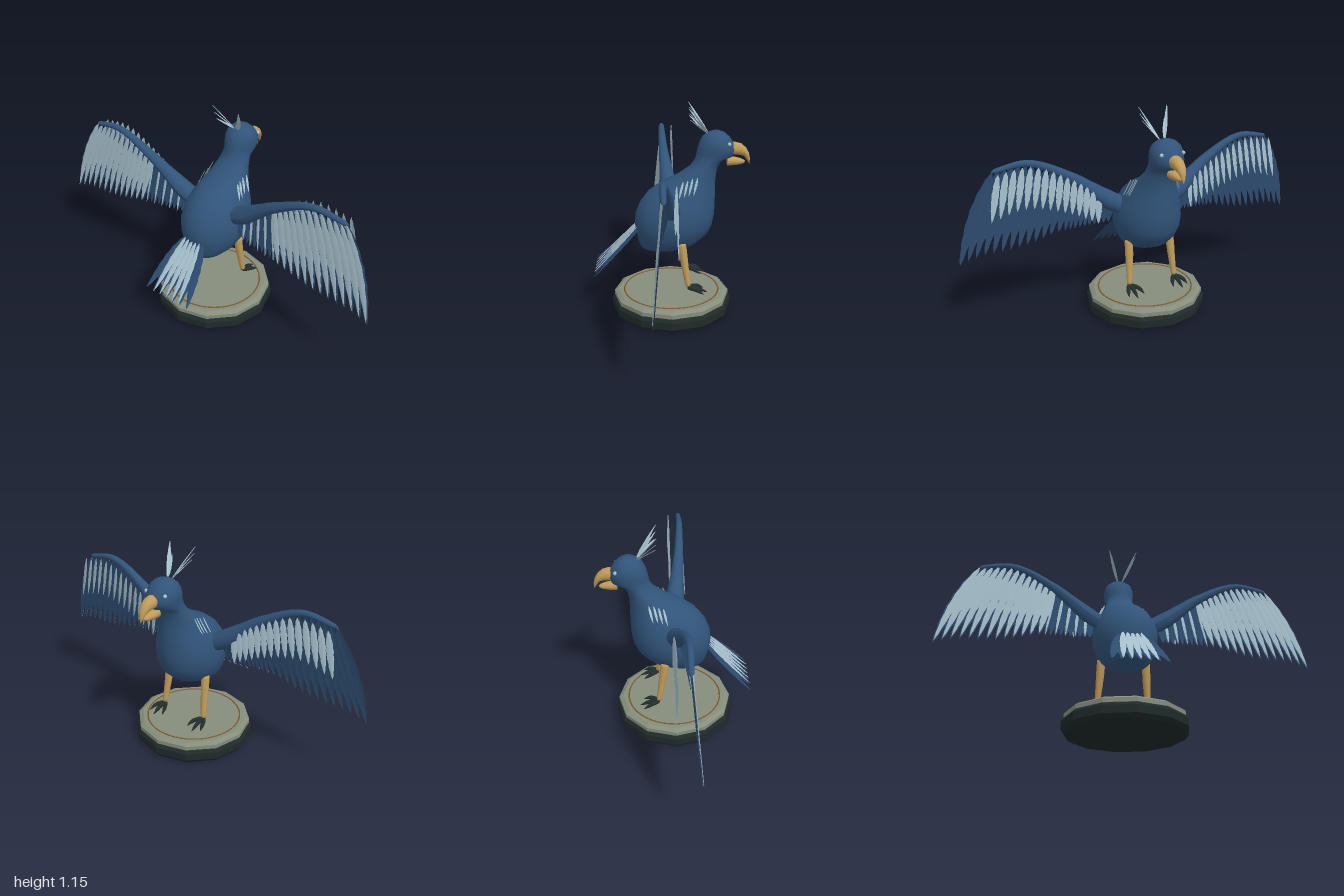
import * as THREE from 'three';

const mat = (name, color, extra = {}) => Object.assign(new THREE.MeshStandardMaterial({ color, ...extra }), { name });
const V = (x, y, z) => new THREE.Vector3(x, y, z);

// Loft through elliptical rings; each row is [zA, yA, zB, yB, halfWidth]
function loft(rows, segs = 28) {
  const pos = [], idx = [];
  rows.forEach(([za, ya, zb, yb, w], i) => {
    for (let j = 0; j < segs; j++) {
      const a = j / segs * Math.PI * 2, c = Math.cos(a) / 2;
      pos.push(w * Math.sin(a), (ya + yb) / 2 + c * (ya - yb), (za + zb) / 2 + c * (za - zb));
      if (i < rows.length - 1) {
        const k = (j + 1) % segs, p = i * segs, q = p + segs;
        idx.push(p + j, p + k, q + j, p + k, q + k, q + j);
      }
    }
  });
  const g = new THREE.BufferGeometry();
  g.setAttribute('position', new THREE.Float32BufferAttribute(pos, 3));
  g.setIndex(idx);
  g.computeVertexNormals();
  return g;
}

// Round limb along a curve whose radius follows a short list
function limb(curve, radii, steps = 24, sides = 14) {
  const g = new THREE.TubeGeometry(curve, steps, 1, sides);
  const p = g.attributes.position, v = V();
  for (let i = 0; i <= steps; i++) {
    const c = curve.getPointAt(i / steps);
    const f = i / steps * (radii.length - 1), k = Math.min(Math.floor(f), radii.length - 2);
    const cap = Math.sqrt(Math.max(0, 1 - Math.max(0, 1 - Math.min(i, steps - i) / 1.5) ** 2));
    const r = THREE.MathUtils.lerp(radii[k], radii[k + 1], f - k) * cap;
    for (let j = 0; j <= sides; j++) {
      const n = i * (sides + 1) + j;
      v.fromBufferAttribute(p, n).sub(c).multiplyScalar(r).add(c);
      p.setXYZ(n, v.x, v.y, v.z);
    }
  }
  g.computeVertexNormals();
  return g;
}

// Pointed feather with a raised shaft line and a barbed edge
function feather(base, tip, width, normal, bow = 0) {
  const dir = tip.clone().sub(base), side = dir.clone().cross(normal).normalize();
  const up = side.clone().cross(dir).normalize(), pos = [], idx = [], n = 12;
  for (let i = 0; i <= n; i++) {
    const t = i / n, w = width / 2 * Math.pow(Math.max(0, Math.sin(Math.PI * Math.pow(t, 0.8))), 0.7) * (i % 2 ? 1 : 0.86);
    const c = base.clone().addScaledVector(dir, t).addScaledVector(side, bow * Math.sin(Math.PI * t));
    for (const s of [-1, 0, 1]) {
      const q = c.clone().addScaledVector(side, s * w).addScaledVector(up, s ? 0 : 0.003);
      pos.push(q.x, q.y, q.z);
    }
    if (i < n) for (const k of [0, 1]) {
      const a = i * 3 + k;
      idx.push(a, a + 1, a + 3, a + 1, a + 4, a + 3);
    }
  }
  const g = new THREE.BufferGeometry();
  g.setAttribute('position', new THREE.Float32BufferAttribute(pos, 3));
  g.setIndex(idx);
  g.computeVertexNormals();
  return g;
}

export function createModel() {
  const two = { side: THREE.DoubleSide };
  const navy = mat('navy plumage', 0x31547a), navyFeather = mat('navy feather', 0x2d4c6f, two);
  const pale = mat('pale feather', 0xa6c0cc, two), horn = mat('tan horn', 0xc09b58);
  const dark = mat('dark claw', 0x222e2d), plinthDark = mat('dark plinth', 0x1e2a29);
  const stone = mat('grey stone', 0x868d7b), bronze = mat('bronze ring', 0x80592f);
  const model = new THREE.Group();
  model.name = 'birdOnPlinth';
  const add = (parent, name, geo, m) => {
    const mesh = new THREE.Mesh(geo, m);
    mesh.name = name;
    parent.add(mesh);
    return mesh;
  };

  // Twelve-sided plinth
  const lathe = (pts) => {
    const g = new THREE.LatheGeometry(pts.map(p => new THREE.Vector2(...p)), 12).toNonIndexed();
    g.computeVertexNormals();
    return g;
  };
  add(model, 'plinthBase', lathe([[0, 0], [0.315, 0], [0.331, 0.02], [0.331, 0.06], [0.318, 0.076], [0, 0.076]]), plinthDark);
  add(model, 'plinthTop', lathe([[0.3, 0.07], [0.318, 0.078], [0.318, 0.1], [0.295, 0.113], [0, 0.113]]), stone);
  add(model, 'plinthRing', new THREE.TorusGeometry(0.262, 0.004, 6, 48).rotateX(Math.PI / 2).translate(0, 0.113, 0), bronze);

  // Body, neck and head in one skin: back point, front point, half width
  add(model, 'body', loft([
    [0.06, 0.358, 0.06, 0.358, 0], [0.14, 0.36, -0.04, 0.364, 0.075], [0.163, 0.368, -0.09, 0.375, 0.1],
    [0.178, 0.4, -0.145, 0.4, 0.13], [0.19, 0.45, -0.198, 0.45, 0.157], [0.198, 0.5, -0.222, 0.5, 0.173],
    [0.194, 0.56, -0.233, 0.56, 0.177], [0.17, 0.62, -0.235, 0.62, 0.165], [0.125, 0.68, -0.235, 0.68, 0.142],
    [0.055, 0.73, -0.235, 0.73, 0.118], [-0.03, 0.77, -0.237, 0.77, 0.1], [-0.1, 0.82, -0.246, 0.82, 0.085],
    [-0.126, 0.86, -0.27, 0.855, 0.077], [-0.132, 0.89, -0.325, 0.876, 0.08], [-0.138, 0.92, -0.336, 0.91, 0.086],
    [-0.147, 0.95, -0.328, 0.945, 0.085], [-0.163, 0.98, -0.306, 0.978, 0.073], [-0.19, 1.001, -0.28, 1.001, 0.048],
    [-0.215, 1.01, -0.255, 1.011, 0.022], [-0.236, 1.013, -0.236, 1.013, 0]]), navy);

  // Hooked beak
  add(model, 'upperBeak', loft([
    [-0.31, 0.92, -0.31, 0.92, 0], [-0.31, 0.95, -0.31, 0.884, 0.034], [-0.335, 0.951, -0.335, 0.882, 0.034],
    [-0.368, 0.942, -0.36, 0.88, 0.03], [-0.394, 0.92, -0.38, 0.876, 0.025], [-0.41, 0.892, -0.392, 0.864, 0.018],
    [-0.417, 0.86, -0.404, 0.848, 0.01], [-0.414, 0.83, -0.414, 0.83, 0]], 16), horn);
  add(model, 'lowerBeak', loft([
    [-0.296, 0.85, -0.296, 0.85, 0], [-0.296, 0.874, -0.296, 0.824, 0.028], [-0.298, 0.874, -0.298, 0.823, 0.028],
    [-0.335, 0.87, -0.335, 0.824, 0.026], [-0.37, 0.861, -0.37, 0.829, 0.018],
    [-0.385, 0.853, -0.385, 0.835, 0.01], [-0.392, 0.845, -0.392, 0.845, 0]], 16), horn);

  // Tail fan: navy feathers with narrower pale ones on top
  const tailUp = V(0, 0.7, 0.7);
  for (let i = -3; i <= 3; i++) {
    const s = i / 3;
    add(model, 'tailFeather', feather(V(s * 0.06, 0.485, 0.175), V(s * 0.14, 0.245, 0.415), 0.056, tailUp), navyFeather);
    if (Math.abs(i) < 3) add(model, 'paleTailFeather',
      feather(V(s * 0.07, 0.495, 0.185), V(s * 0.128, 0.25, 0.418), 0.036, tailUp), pale);
  }

  // Paired parts, built on the +x side and mirrored
  const arm = new THREE.CatmullRomCurve3([V(0.1, 0.595, -0.005), V(0.2, 0.645, 0.01), V(0.41, 0.797, 0.037),
    V(0.62, 0.893, 0.048), V(0.81, 0.873, 0.046)]);
  const tips = new THREE.CatmullRomCurve3([V(0.47, 0.49, 0.075), V(0.68, 0.44, 0.08), V(0.9, 0.425, 0.086), V(0.99, 0.395, 0.09)]);
  const back = V(0, 0, 1), lerp = THREE.MathUtils.lerp;
  const shift = (v, z) => v.clone().add(V(0, 0, z));
  for (const sx of [1, -1]) {
    const side = new THREE.Group();
    side.name = sx > 0 ? 'leftSide' : 'rightSide';
    side.scale.x = sx;
    model.add(side);

    // Wing arm and flight feathers
    add(side, 'wingArm', limb(arm, [0.05, 0.05, 0.035, 0.026, 0.02, 0.016, 0.012], 40), navy);
    for (let i = 0; i < 13; i++) {
      const t = i / 12, b = arm.getPointAt(lerp(0.46, 0.985, t)), e = tips.getPointAt(t);
      add(side, 'flightFeather', feather(b, e, 0.062, back, -0.015 * t), navyFeather);
      add(side, 'paleFlightFeather', feather(shift(b, 0.004), shift(e.clone().lerp(b, 0.03), 0.006),
        0.044, back, -0.015 * t), pale);
    }
    for (let i = 0; i < 10; i++) {
      const t = i / 9, b = arm.getPointAt(lerp(0.14, 0.44, t));
      const e = b.clone().add(V(lerp(0, 0.045, t), lerp(-0.13, -0.29, t), 0.03));
      add(side, 'innerFeather', feather(b, e, 0.048, back), navyFeather);
      if (i % 2) add(side, 'paleInnerFeather', feather(shift(b, 0.004), shift(e, 0.006), 0.018, back), pale);
    }
    // Row of covert feathers along the front of the wing
    for (let i = 0; i < 15; i++) {
      const t = i / 14, b = arm.getPointAt(lerp(0.25, 0.97, t));
      b.z = -0.012;
      const e = b.clone().add(V(lerp(0.01, 0.05, t), lerp(-0.16, -0.24, t), -0.004));
      add(side, 'covertFeather', feather(b, e, 0.036, V(0.3, 0, -1)), pale);
    }

    // Crest plumes
    [[0.08, 1.15, -0.09], [0.074, 1.115, -0.092], [0.062, 1.08, -0.095]].forEach(p =>
      add(side, 'crestFeather', feather(V(0.012, 0.995, -0.195), V(...p), 0.02, V(0.6, 0.2, 0.8)), pale));

    // Small pale feathers beside the neck
    [[0.116, 0.755, -0.1], [0.122, 0.76, -0.125], [0.116, 0.745, -0.075], [0.12, 0.74, -0.05]].forEach(([x, y, z]) =>
      add(side, 'neckFeather', feather(V(x - 0.012, y + 0.025, z - 0.01), V(x + 0.022, y - 0.06, z + 0.012), 0.014, V(1, 0.3, 0.4)), pale));

    // Eye
    const eye = add(side, 'eye', new THREE.SphereGeometry(0.01, 14, 10), pale);
    eye.position.set(0.06, 0.95, -0.3);

    // Leg and three splayed toes
    add(side, 'leg', limb(new THREE.CatmullRomCurve3([V(0.122, 0.435, -0.052), V(0.128, 0.31, -0.07), V(0.137, 0.176, -0.091)]),
      [0.023, 0.022, 0.018, 0.014]), horn);
    [[0.088, 0.152, -0.175], [0.136, 0.146, -0.196], [0.178, 0.152, -0.175]].forEach(([x, y, z]) =>
      add(side, 'toe', limb(new THREE.CatmullRomCurve3([V(0.137, 0.178, -0.085),
        V((x + 0.137) / 2 + (x - 0.137) * 0.2, 0.172, -0.135), V(x, y, z)]), [0.011, 0.012, 0.01, 0.001], 14, 8), dark));
  }
  return model;
}
